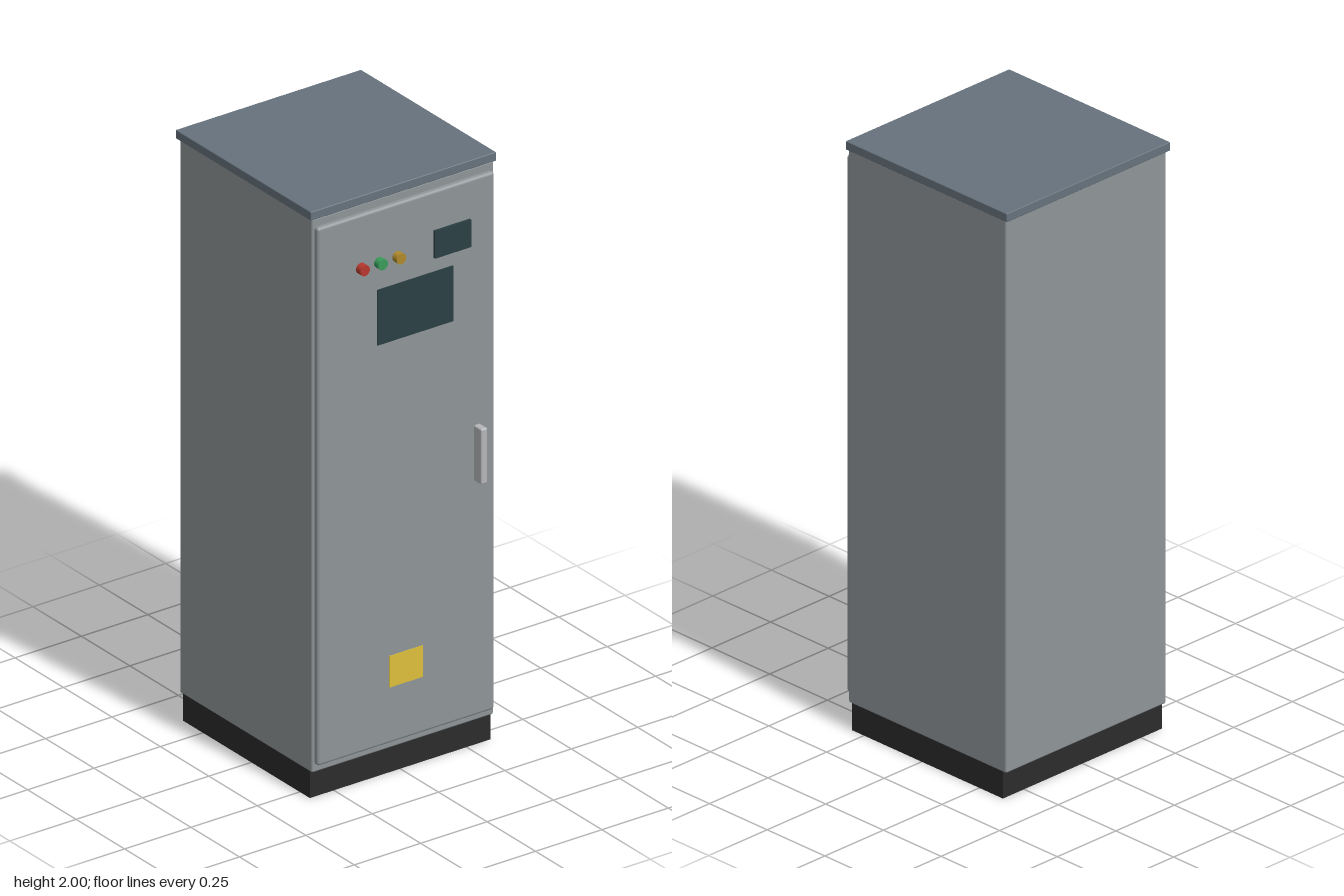
import * as THREE from 'three';
import { RoundedBoxGeometry } from 'three/addons/geometries/RoundedBoxGeometry.js';

const mat = (color) => new THREE.MeshStandardMaterial({ color });

export function createModel() {
  const group = new THREE.Group();
  const steel = mat(0x8f9598), glass = mat(0x2b3f44);

  // Box given by its min and max corners; a radius rounds the edges
  function box(name, [x0, y0, z0], [x1, y1, z1], material, radius = 0) {
    const size = [x1 - x0, y1 - y0, z1 - z0];
    const geometry = radius
      ? new RoundedBoxGeometry(...size, 3, radius)
      : new THREE.BoxGeometry(...size);
    const mesh = new THREE.Mesh(geometry, material);
    mesh.name = name;
    mesh.position.set((x0 + x1) / 2, (y0 + y1) / 2, (z0 + z1) / 2);
    group.add(mesh);
  }

  // Cabinet shell
  box('plinth', [-0.34, 0, -0.352], [0.34, 0.092, 0.302], mat(0x2b2b2d));
  box('cabinetBody', [-0.342, 0.09, -0.368], [0.342, 1.972, 0.316], steel, 0.007);
  box('roof', [-0.349, 1.97, -0.378], [0.349, 2, 0.32], mat(0x66727c), 0.003);

  // Door with its fittings
  box('door', [-0.333, 0.117, 0.309], [0.333, 1.944, 0.334], steel, 0.01);
  box('mainScreen', [-0.111, 1.484, 0.328], [0.174, 1.672, 0.338], glass);
  box('meterDisplay', [0.102, 1.719, 0.328], [0.238, 1.812, 0.343], glass);
  box('warningPlate', [-0.065, 0.308, 0.328], [0.061, 0.415, 0.336], mat(0xdcbf3c));
  box('doorHandle', [0.252, 0.919, 0.334], [0.276, 1.107, 0.376], mat(0xb4b6b8), 0.005);

  // Row of indicator lamps
  const lampGeometry = new THREE.CylinderGeometry(0.018, 0.018, 0.03, 24).rotateX(Math.PI / 2);
  [['redLamp', 0xb8392f], ['greenLamp', 0x3a9d5a], ['amberLamp', 0xb08a2c]].forEach(([name, color], i) => {
    const lamp = new THREE.Mesh(lampGeometry, mat(color));
    lamp.name = name;
    lamp.position.set(-0.172 + i * 0.0685, 1.764, 0.342);
    group.add(lamp);
  });

  return group;
}
